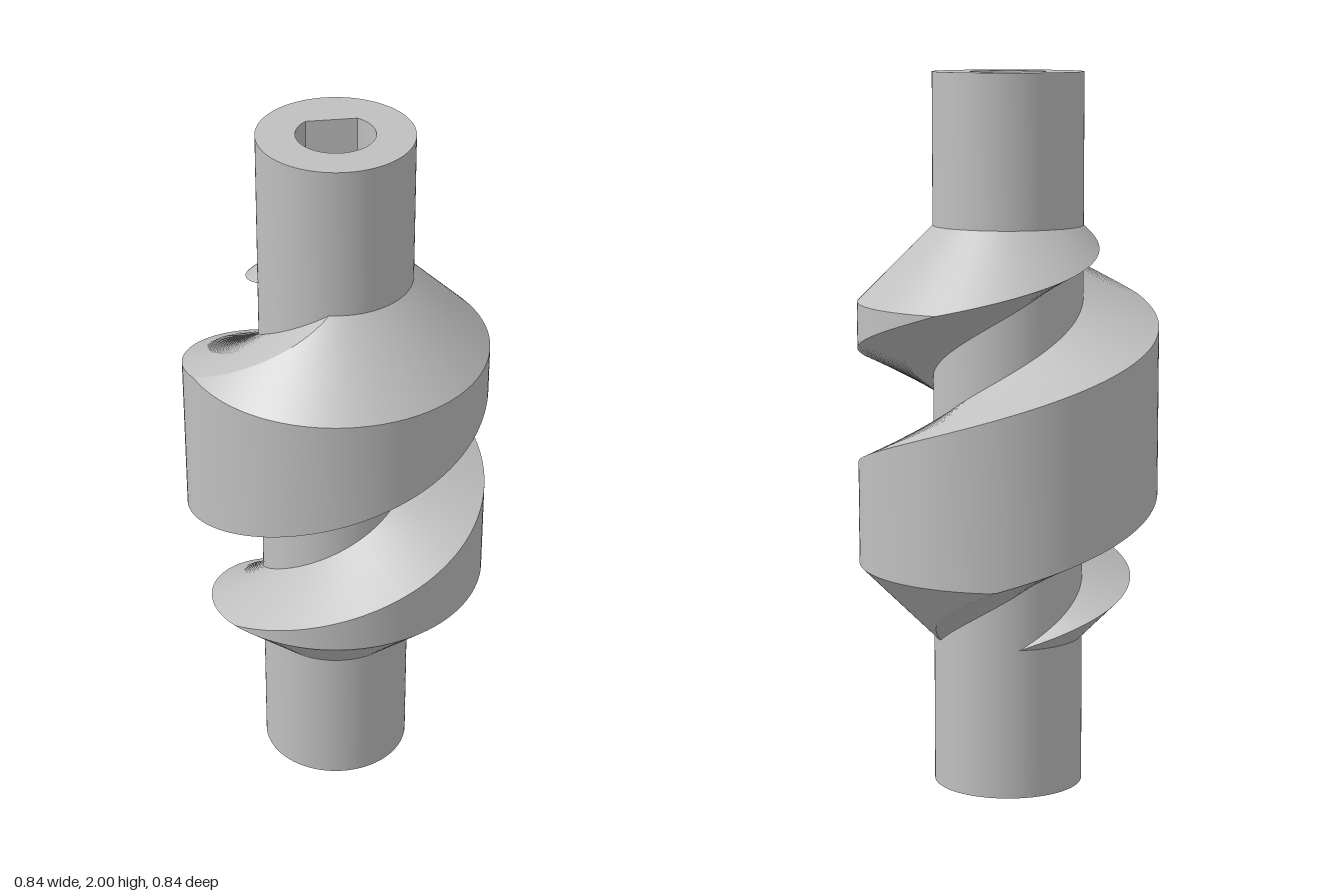
import * as THREE from 'three';
import { toCreasedNormals } from 'three/addons/utils/BufferGeometryUtils.js';

const SHAFT = 0.209, DEPTH = 0.21;        // shaft radius, thread height above it
const RISE = 0.125, PITCH = RISE * Math.PI * 2;
const BOTTOM = 0.423, TOP = 1.58;         // ends of the threaded body
const HALF = 0.08, SLOPE = 0.38;          // groove half width at the root, wall slope
const INNER = -0.004;                     // thread root sits just inside the shaft

const clamp = THREE.MathUtils.clamp;

// Thread section [radius, y] for a groove centred at height c, clipped by the end cones
function section(c) {
  const under = c + HALF, over = c + PITCH - HALF;
  const dMax = clamp(Math.min((TOP - under) / (1 + SLOPE), (over - BOTTOM) / (1 + SLOPE)), 0, DEPTH);
  const lo = d => Math.max(under + SLOPE * d, BOTTOM + d);
  const hi = d => Math.min(over - SLOPE * d, TOP - d);
  const kLo = clamp((under - BOTTOM) / (1 - SLOPE), INNER, dMax);
  const kHi = clamp((TOP - over) / (1 - SLOPE), INNER, dMax);
  return [
    [INNER, lo(INNER)], [kLo, lo(kLo)], [dMax, lo(dMax)],
    [dMax, hi(dMax)], [kHi, hi(kHi)], [INNER, hi(INNER)],
  ].map(([d, y]) => [SHAFT + d, y]);
}

// One smooth strip of the thread, between section corners k and k + 1
function strip(k, steps = 320) {
  const centre = 1 + RISE * Math.PI / 4;  // groove height on the +x side
  const start = (BOTTOM + HALF - PITCH - centre) / RISE;
  const end = (TOP - HALF - centre) / RISE;
  const pos = [], index = [];
  for (let i = 0; i <= steps; i++) {
    const t = start + (end - start) * i / steps;
    const s = section(centre + RISE * t);
    for (const [r, y] of [s[k], s[k + 1]]) pos.push(r * Math.cos(t), y, -r * Math.sin(t));
    if (i < steps) {
      const a = i * 2;
      index.push(a, a + 2, a + 1, a + 1, a + 2, a + 3);
    }
  }
  const g = new THREE.BufferGeometry();
  g.setAttribute('position', new THREE.Float32BufferAttribute(pos, 3));
  g.setIndex(index);
  g.computeVertexNormals();
  return g;
}

export function createModel() {
  const model = new THREE.Group();
  const metal = new THREE.MeshStandardMaterial({ color: 0xc0c0c0 });
  metal.name = 'grey metal';
  const add = (name, geometry, y = 0, parent = model) => {
    const mesh = new THREE.Mesh(geometry, metal);
    mesh.name = name;
    mesh.position.y = y;
    parent.add(mesh);
    return mesh;
  };

  // Shaft: solid below, D-shaped socket in the upper end
  const socketFloor = 1.6;
  add('shaft', new THREE.CylinderGeometry(SHAFT, SHAFT, socketFloor, 96), socketFloor / 2);

  const ring = new THREE.Shape().absarc(0, 0, SHAFT, 0, Math.PI * 2);
  const flat = Math.asin(0.08 / 0.105);
  const socket = new THREE.Path().absarc(0, 0, 0.105, Math.PI - flat, Math.PI * 2 + flat);
  socket.closePath();
  ring.holes.push(socket);
  const upper = new THREE.ExtrudeGeometry(ring, { depth: 2 - socketFloor, bevelEnabled: false, curveSegments: 48 });
  upper.rotateX(-Math.PI / 2);
  add('socketEnd', toCreasedNormals(upper, 0.5), socketFloor);

  // Helical thread, cut by a tapered groove and coned at both ends
  const thread = new THREE.Group();
  thread.name = 'thread';
  model.add(thread);
  ['lowerWall', 'lowerCone', 'rim', 'upperCone', 'upperWall']
    .forEach((name, k) => add(name, strip(k), 0, thread));

  return model;
}
